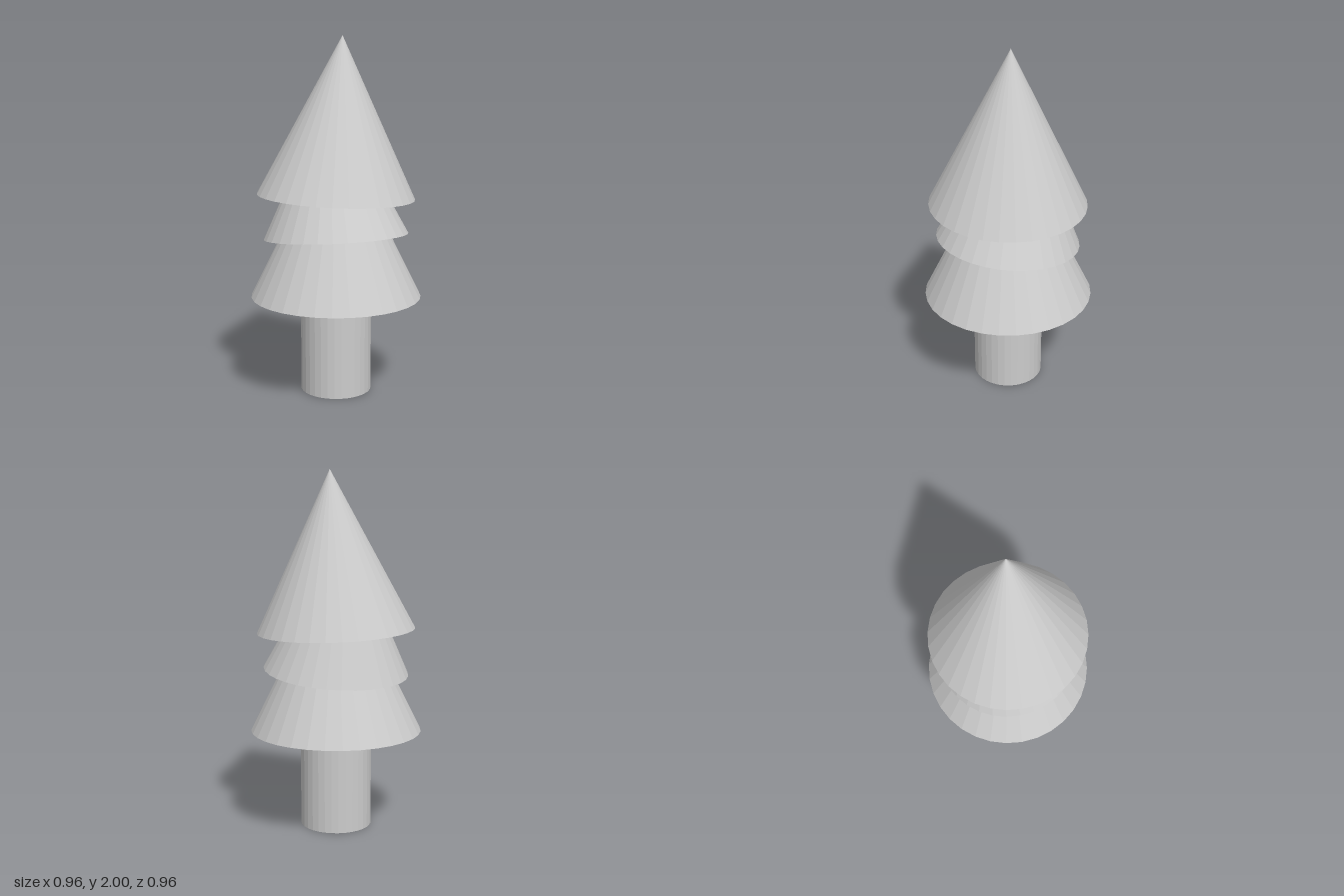
import * as THREE from 'three';

export function createModel() {
  const model = new THREE.Group();
  const material = new THREE.MeshStandardMaterial({ color: 0xcccccc, flatShading: true });
  const up = new THREE.Vector3(0, 1, 0);
  const sides = 32;

  // One tier of foliage: a closed cone standing on its base centre, leaning along (leanX, 1, leanZ)
  function addTier(name, radius, height, baseY, leanX = 0, leanZ = 0) {
    const geometry = new THREE.ConeGeometry(radius, height, sides);
    geometry.translate(0, height / 2, 0);
    const tier = new THREE.Mesh(geometry, material);
    tier.name = name;
    tier.position.y = baseY;
    tier.quaternion.setFromUnitVectors(up, new THREE.Vector3(leanX, 1, leanZ).normalize());
    model.add(tier);
  }

  // Trunk
  const trunk = new THREE.Mesh(new THREE.CylinderGeometry(0.2, 0.2, 0.55, sides), material);
  trunk.name = 'trunk';
  trunk.position.y = 0.275;
  model.add(trunk);

  // Foliage, the upper two tiers slightly crooked
  addTier('lowerFoliage', 0.48, 0.965, 0.55);
  addTier('middleFoliage', 0.407, 0.82, 0.89, -0.05, -0.091);
  addTier('upperFoliage', 0.442, 0.883, 1.117, 0.04, -0.012);

  return model;
}
